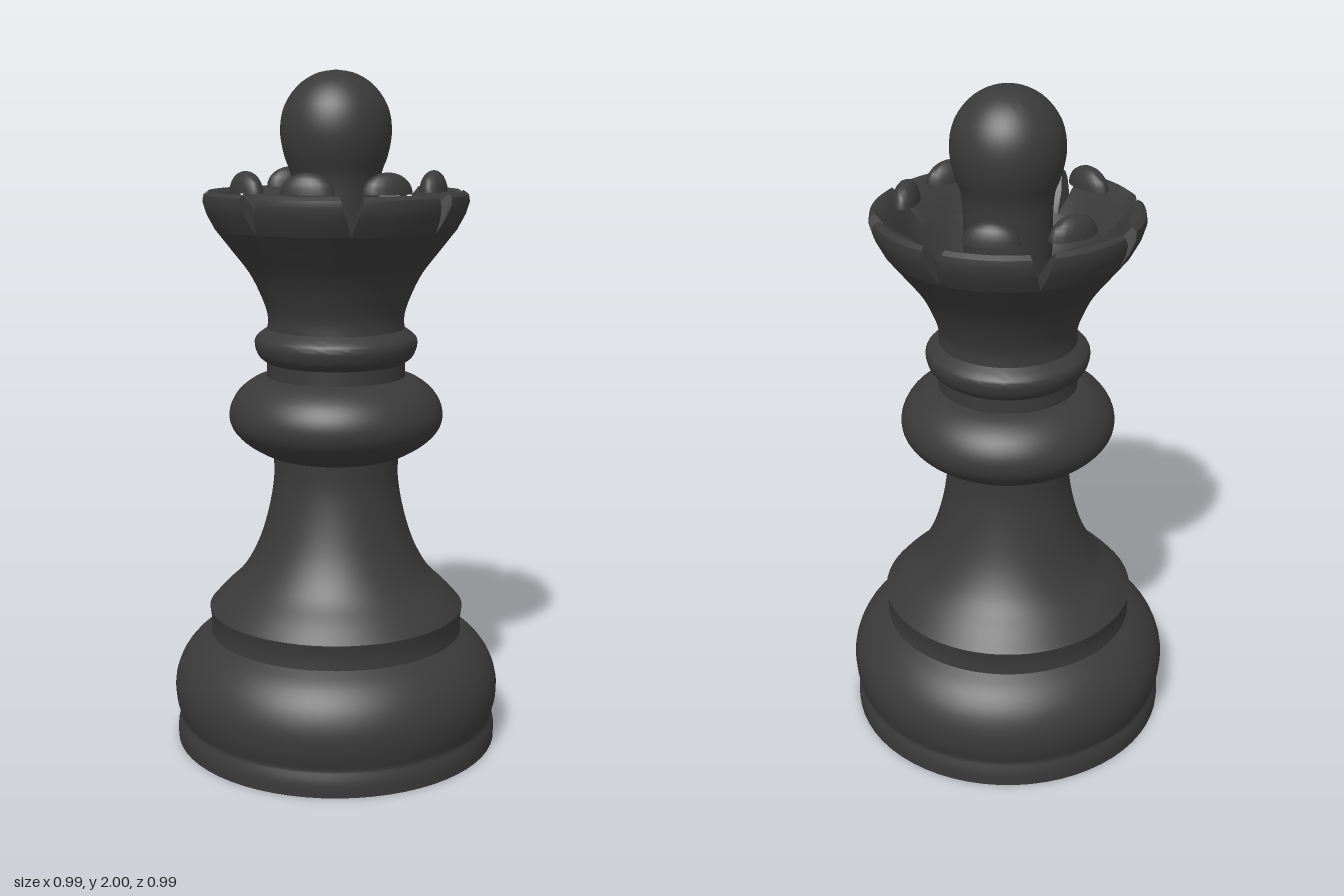
import * as THREE from 'three';
import { toCreasedNormals } from 'three/addons/utils/BufferGeometryUtils.js';

const ebony = new THREE.MeshStandardMaterial({ color: 0x3a3a3a });
ebony.name = 'ebony';

// Smooth runs of profile points; creases fall where one run meets the next.
function profile(runs) {
  const pts = [];
  for (const run of runs) {
    const v = run.map(([r, y]) => new THREE.Vector2(r, y));
    const list = v.length > 2 ? new THREE.SplineCurve(v).getPoints(v.length * 3) : v;
    for (const p of list) {
      p.x = Math.max(p.x, 0);
      if (!pts.length || pts[pts.length - 1].distanceTo(p) > 1e-5) pts.push(p);
    }
  }
  return pts;
}

function addMesh(parent, name, geometry) {
  const mesh = new THREE.Mesh(geometry, ebony);
  mesh.name = name;
  parent.add(mesh);
  return mesh;
}

const turned = (runs) => toCreasedNormals(new THREE.LatheGeometry(profile(runs), 64), 0.75);

// One crown lobe: a rim section swept through 45 degrees, with ends cut back into V notches.
function lobeGeometry() {
  const section = [[0.352, 1.55], [0.376, 1.595], [0.387, 1.63], [0.384, 1.65], [0.37, 1.66],
    [0.35, 1.657], [0.335, 1.64], [0.31, 1.6], [0.285, 1.55]];
  const steps = 12, n = section.length;
  const pos = [], index = [];
  section.forEach(([r, y], k) => {
    const half = Math.PI / 8 - 0.08 * (y - 1.55) / 0.1;
    for (let j = 0; j <= steps; j++) {
      const t = (j / steps) * 2 - 1;
      const radius = r + (k > 4 && k < n - 1 ? 0.018 * t * t : 0); // thinner towards the notches
      pos.push(radius * Math.sin(t * half), y, radius * Math.cos(t * half));
    }
  });
  const id = (k, j) => (k % n) * (steps + 1) + j;
  for (let k = 0; k < n; k++) {
    for (let j = 0; j < steps; j++) {
      index.push(id(k, j), id(k, j + 1), id(k + 1, j + 1), id(k, j), id(k + 1, j + 1), id(k + 1, j));
    }
    if (k > 0 && k < n - 1) {
      index.push(id(0, 0), id(k, 0), id(k + 1, 0));
      index.push(id(0, steps), id(k + 1, steps), id(k, steps));
    }
  }
  const g = new THREE.BufferGeometry();
  g.setAttribute('position', new THREE.Float32BufferAttribute(pos, 3));
  g.setIndex(index);
  return toCreasedNormals(g, 0.75);
}

// Flat-bottomed dome
function domeGeometry() {
  const g = new THREE.SphereGeometry(1, 20, 12);
  const p = g.attributes.position;
  for (let i = 0; i < p.count; i++) p.setY(i, Math.max(p.getY(i), 0));
  g.scale(0.078, 0.06, 0.038);
  return toCreasedNormals(g, 0.75);
}

export function createModel() {
  const model = new THREE.Group();
  model.name = 'chessQueen';

  addMesh(model, 'base', turned([
    [[0, 0], [0.488, 0]],
    [[0.488, 0], [0.488, 0.04], [0.478, 0.075]],
    [[0.478, 0.075], [0.492, 0.13], [0.492, 0.19], [0.47, 0.25], [0.43, 0.3], [0.382, 0.335]],
    [[0.382, 0.335], [0.38, 0.37], [0.385, 0.41]],
  ]));

  addMesh(model, 'stem', turned([
    [[0.385, 0.41], [0.345, 0.455], [0.285, 0.515], [0.237, 0.6], [0.205, 0.7], [0.187, 0.8], [0.187, 0.88]],
  ]));

  addMesh(model, 'collar', turned([
    [[0.187, 0.88], [0.215, 0.888], [0.275, 0.925], [0.312, 0.97], [0.316, 1.02], [0.29, 1.07], [0.245, 1.105], [0.205, 1.118]],
    [[0.205, 1.118], [0.205, 1.16]],
  ]));

  addMesh(model, 'neckRing', turned([
    [[0.205, 1.16], [0.228, 1.178], [0.24, 1.21], [0.235, 1.235], [0.202, 1.26]],
  ]));

  // Flared cup, hollow down to the post under the head
  addMesh(model, 'crownCup', turned([
    [[0.202, 1.26], [0.202, 1.3], [0.218, 1.35], [0.252, 1.42], [0.305, 1.49], [0.352, 1.55]],
    [[0.352, 1.55], [0.285, 1.55]],
    [[0.285, 1.55], [0.235, 1.47], [0.185, 1.43], [0.125, 1.41]],
  ]));

  addMesh(model, 'head', turned([
    [[0.125, 1.41], [0.125, 1.6], [0.13, 1.7], [0.15, 1.76], [0.161, 1.83], [0.148, 1.9], [0.108, 1.957], [0.055, 1.99], [0, 2]],
  ]));

  // Eight notched lobes around the rim
  const lobe = lobeGeometry();
  for (let i = 0; i < 8; i++) {
    addMesh(model, 'crownLobe', lobe).rotation.y = (i + 0.5) * Math.PI / 4;
  }

  // Six domes inside the rim; the two rear side lobes have none
  const dome = domeGeometry();
  for (const side of [-1, 1]) {
    for (const degrees of [22.5, 67.5, 157.5]) {
      const a = side * THREE.MathUtils.degToRad(degrees);
      const mesh = addMesh(model, 'crownDome', dome);
      mesh.position.set(0.288 * Math.sin(a), 1.66, 0.288 * Math.cos(a));
      mesh.rotation.y = a;
    }
  }
  return model;
}
